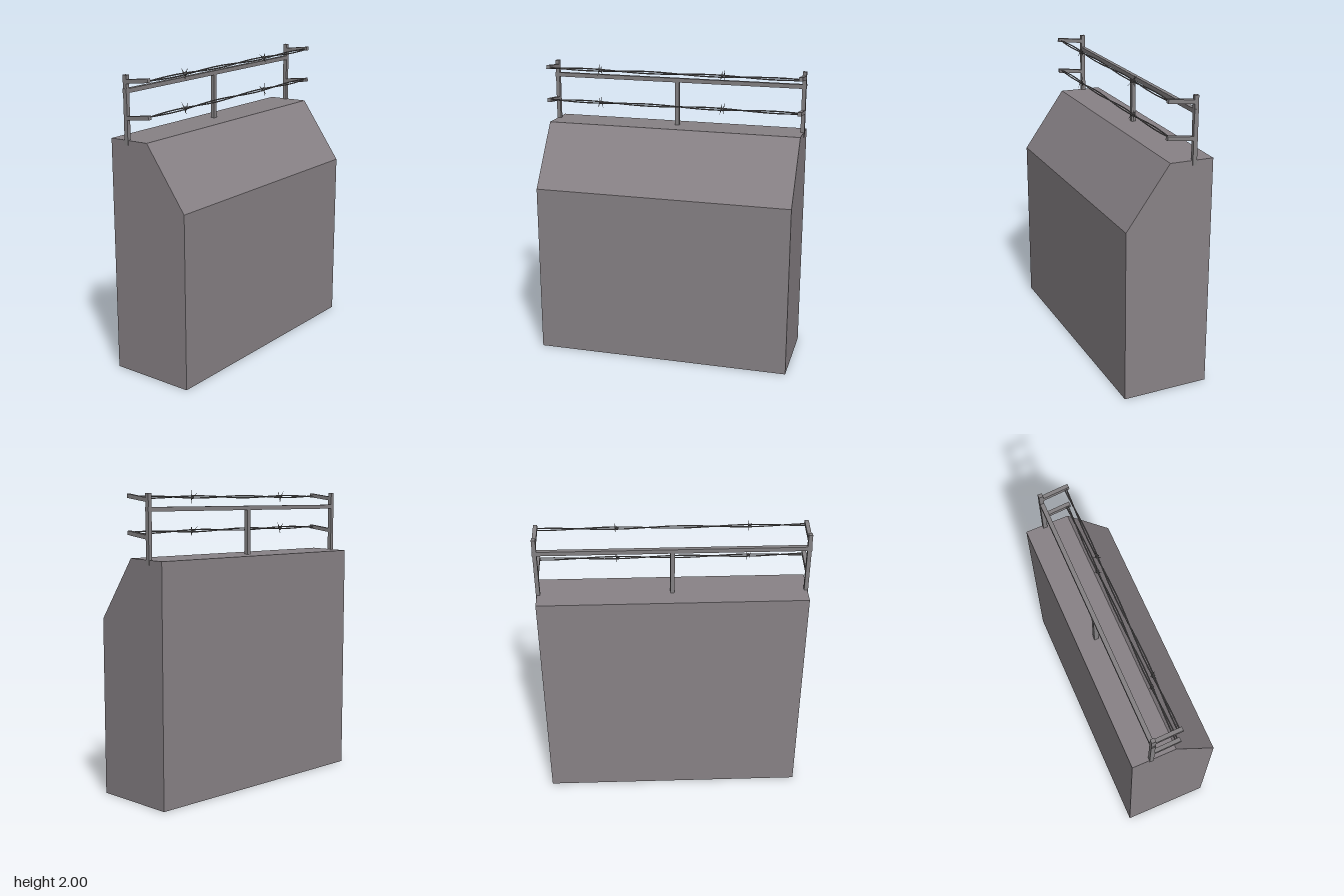
import * as THREE from 'three';

const paint = (color) => new THREE.MeshStandardMaterial({ color, flatShading: true });
const concrete = paint(0x888286);
const metal = paint(0x848183);
const wireMetal = paint(0x6c6a6b);

function add(parent, name, geometry, material, x = 0, y = 0, z = 0) {
  const mesh = new THREE.Mesh(geometry, material);
  mesh.name = name;
  mesh.position.set(x, y, z);
  parent.add(mesh);
  return mesh;
}

const box = (w, h, d) => new THREE.BoxGeometry(w, h, d);

// One strand of a loosely twisted pair running along z
function strand(phase) {
  const points = [];
  for (let i = 0; i <= 16; i++) {
    const t = i / 16, a = phase + t * Math.PI * 4;
    points.push(new THREE.Vector3(0.007 * Math.cos(a), 0.007 * Math.sin(a), (t - 0.5) * 1.74));
  }
  return new THREE.TubeGeometry(new THREE.CatmullRomCurve3(points), 32, 0.0045, 6, false);
}

// Pointed spikes around a short wire coil
function barb() {
  const group = new THREE.Group();
  group.name = 'barb';
  const coil = [];
  for (let i = 0; i <= 18; i++) {
    const a = (i / 18) * Math.PI * 4;
    coil.push(new THREE.Vector3(0.01 * Math.cos(a), 0.01 * Math.sin(a), (i / 18 - 0.5) * 0.018));
  }
  const coilPath = new THREE.CatmullRomCurve3(coil);
  add(group, 'barbCoil', new THREE.TubeGeometry(coilPath, 28, 0.003, 5, false), wireMetal);
  const directions = [[-0.6, 1, 0.1], [0.3, 1, -0.1], [0.5, -1, 0.1], [-0.4, -1, -0.1]];
  directions.forEach(([x, y, z], i) => {
    const dir = new THREE.Vector3(x, y, z).normalize();
    const spike = add(group, 'spike', new THREE.ConeGeometry(0.004, 0.046, 6), wireMetal);
    spike.quaternion.setFromUnitVectors(new THREE.Vector3(0, 1, 0), dir);
    spike.position.copy(dir).multiplyScalar(0.023);
    spike.position.z += i % 2 ? -0.008 : 0.008;
  });
  return group;
}

export function createModel() {
  const model = new THREE.Group();
  model.name = 'barbedWall';

  // Wall with one sloping shoulder
  const profile = new THREE.Shape([
    [-0.295, 0], [0.292, 0], [0.292, 1.172], [0, 1.577], [-0.295, 1.57],
  ].map(([x, y]) => new THREE.Vector2(x, y)));
  const wall = new THREE.ExtrudeGeometry(profile, { depth: 1.75, bevelEnabled: false });
  wall.translate(0, 0, -0.875);
  add(model, 'wall', wall, concrete);

  // Railing along the top
  const postX = -0.166;
  add(model, 'rail', box(0.028, 0.028, 1.764), metal, postX, 1.883, 0);
  add(model, 'middlePost', box(0.028, 0.31, 0.028), metal, postX, 1.718, 0);

  for (const side of [-1, 1]) {
    add(model, 'endPost', box(0.028, 0.44, 0.026), metal, postX, 1.762, side * 0.866);
    // Arms rising slightly towards the wire
    for (const y of [1.724, 1.953]) {
      const arm = add(model, 'arm', box(0.182, 0.026, 0.026), metal, -0.067, y, side * 0.866);
      arm.rotation.z = 0.13;
    }
  }

  // Two runs of barbed wire
  for (const y of [1.735, 1.956]) {
    const wire = new THREE.Group();
    wire.name = 'barbedWire';
    wire.position.y = y;
    add(wire, 'strand', strand(0.6), wireMetal);
    add(wire, 'strand', strand(0.6 + Math.PI), wireMetal);
    for (const z of [0.5, -0.35]) {
      const b = barb();
      b.position.z = z;
      if (z < 0) b.rotation.z = 0.35;
      wire.add(b);
    }
    model.add(wire);
  }
  return model;
}
